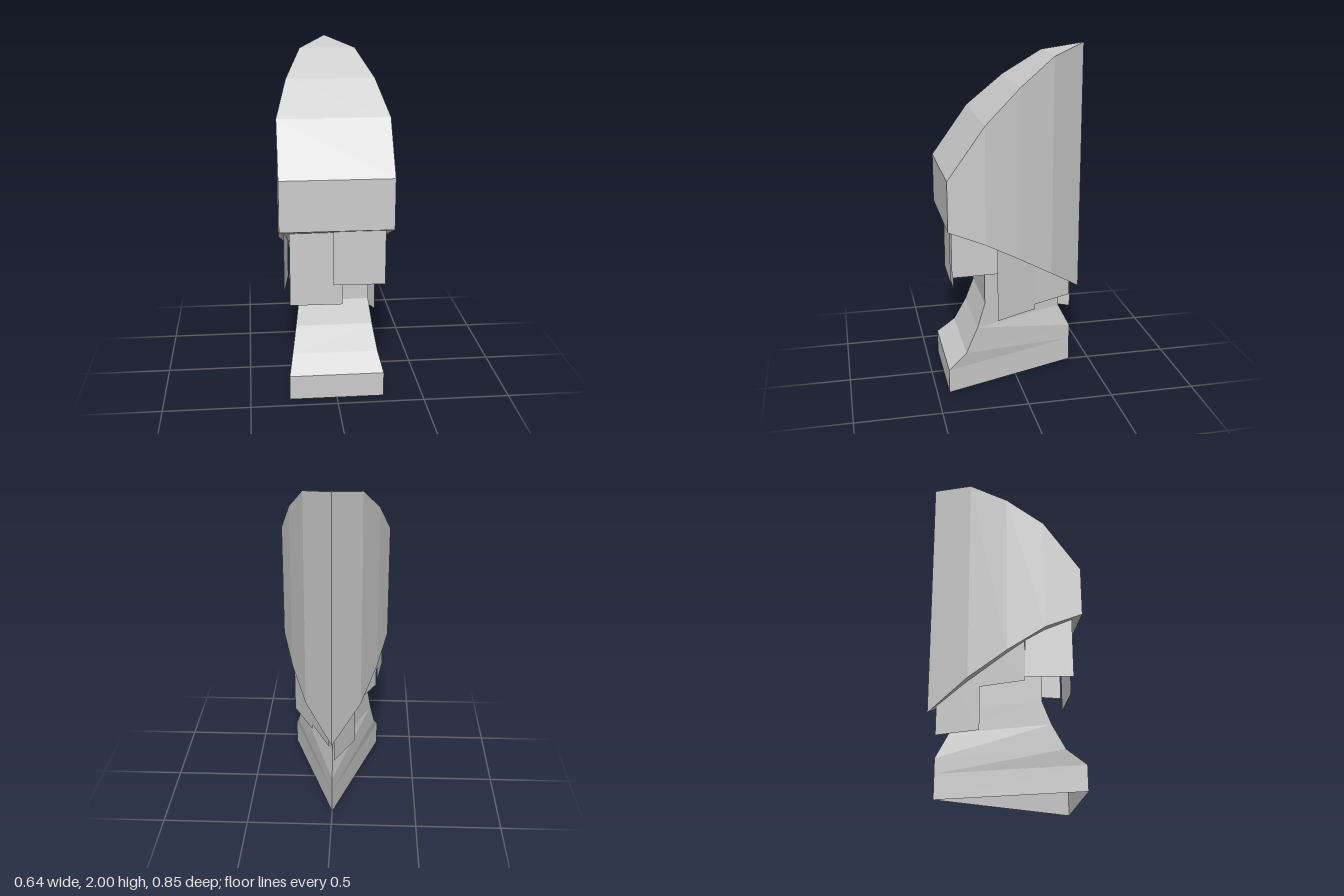
import * as THREE from 'three';

const material = new THREE.MeshStandardMaterial({ color: 0xcccccc, flatShading: true, side: THREE.DoubleSide });

// Joins equal-sized rings of points, each running counter-clockwise seen from the last ring's end.
function loft(rings, capEnd = false) {
  const pos = [];
  const tri = (a, b, c) => {
    const area = new THREE.Triangle(new THREE.Vector3(...a), new THREE.Vector3(...b), new THREE.Vector3(...c)).getArea();
    if (area > 1e-6) pos.push(...a, ...b, ...c);
  };
  const n = rings[0].length;
  for (let i = 0; i < rings.length - 1; i++) {
    for (let j = 0; j < n; j++) {
      const k = (j + 1) % n;
      const a = rings[i][j], b = rings[i][k], c = rings[i + 1][k], d = rings[i + 1][j];
      // mirrored diagonals on the two halves
      if (j < n / 2 - 0.5) { tri(a, b, d); tri(b, c, d); } else { tri(a, b, c); tri(a, c, d); }
    }
  }
  if (capEnd) {
    const r = rings[rings.length - 1];
    for (let j = 1; j < n - 1; j++) tri(r[0], r[j], r[j + 1]);
  }
  const g = new THREE.BufferGeometry();
  g.setAttribute('position', new THREE.Float32BufferAttribute(pos, 3));
  g.computeVertexNormals();
  return g;
}

// Thin upright plate between two plan points [x, z].
function plate([x0, z0], [x1, z1], bottom, top) {
  const g = new THREE.PlaneGeometry(Math.hypot(x1 - x0, z1 - z0), top - bottom);
  g.rotateY(Math.atan2(-(z1 - z0), x1 - x0));
  g.translate((x0 + x1) / 2, (bottom + top) / 2, (z0 + z1) / 2);
  return g;
}

export function createModel() {
  const model = new THREE.Group();
  const add = (name, geometry, parent = model) => {
    const mesh = new THREE.Mesh(geometry, material);
    mesh.name = name;
    parent.add(mesh);
  };

  // Pointed hood: z, half width, underside, top
  const hood = [
    [-0.425, 0, 0.5, 2.0],
    [-0.213, 0.163, 0.66, 1.945],
    [0, 0.256, 0.80, 1.795],
    [0.21, 0.321, 0.925, 1.605],
    [0.424, 0.321, 1.015, 1.307],
  ];
  add('hood', loft(hood.map(([z, w, lo, hi]) => [[w, lo, z], [w, hi, z], [-w, hi, z], [-w, lo, z]]), true));

  // Open-bottomed triangular foot: y, half width, front z, back z
  const foot = [
    [0, 0.273, 0.428, -0.375],
    [0.145, 0.273, 0.428, -0.375],
    [0.235, 0.25, 0.32, -0.375],
    [0.38, 0.225, 0.248, -0.30],
    [0.52, 0.205, 0.2, -0.30],
    [0.92, 0.205, 0.2, -0.30],
  ];
  add('foot', loft(foot.map(([y, w, f, b]) => [[w, y, f], [0, y, b], [-w, y, f]])));

  // Hanging plates: two at the front, three along each side
  const plates = new THREE.Group();
  plates.name = 'hangingPlates';
  model.add(plates);
  const list = [
    ['frontRightPlate', [-0.262, 0.355], [0.038, 0.36], 0.555, 1.06],
    ['frontLeftPlate', [-0.02, 0.402], [0.275, 0.408], 0.69, 1.06],
    ['leftFrontPlate', [0.272, 0.4], [0.262, 0.13], 0.725, 1.02],
    ['leftMiddlePlate', [0.255, 0.132], [0.13, -0.122], 0.425, 0.95],
    ['leftBackPlate', [0.13, -0.12], [0.02, -0.36], 0.455, 0.85],
    ['rightFrontPlate', [-0.295, 0.367], [-0.26, 0.1], 0.64, 1.03],
    ['rightMiddlePlate', [-0.255, 0.1], [-0.13, -0.14], 0.62, 0.95],
    ['rightBackPlate', [-0.13, -0.14], [-0.01, -0.376], 0.365, 0.85],
  ];
  for (const [name, a, b, bottom, top] of list) add(name, plate(a, b, bottom, top), plates);

  return model;
}
